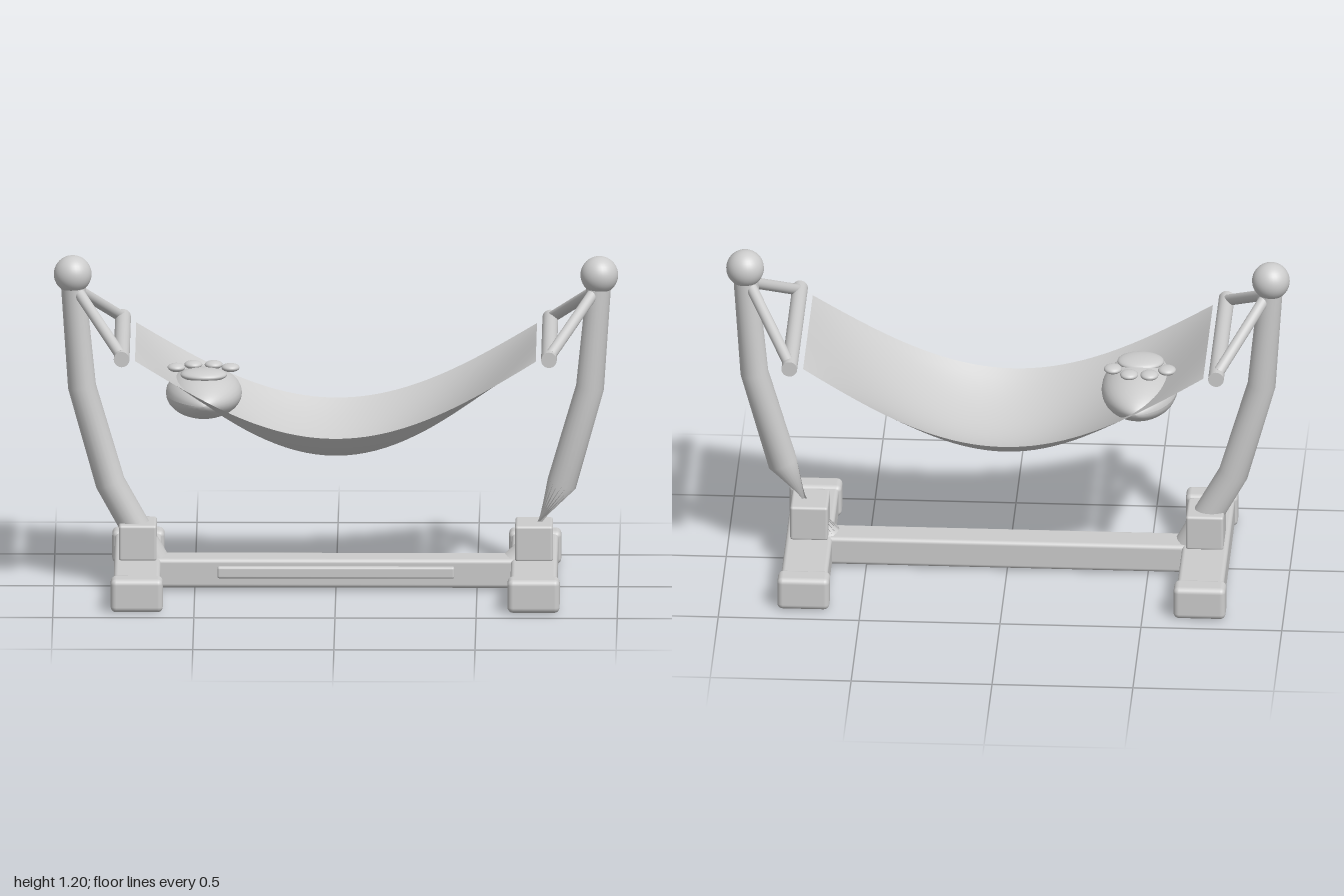
import * as THREE from 'three';
import { RoundedBoxGeometry } from 'three/addons/geometries/RoundedBoxGeometry.js';

const grey = new THREE.MeshStandardMaterial({ color: 0xcccccc, side: THREE.DoubleSide });
grey.name = 'pale grey';

function add(group, name, geometry, x = 0, y = 0, z = 0) {
  const mesh = new THREE.Mesh(geometry, grey);
  mesh.name = name;
  mesh.position.set(x, y, z);
  group.add(mesh);
  return mesh;
}

// Rounded box given by its size and centre
const box = (group, name, w, h, d, x, y, z, r = 0.015) =>
  add(group, name, new RoundedBoxGeometry(w, h, d, 3, r), x, y, z);

// Round rod between two points
function rod(group, name, a, b, r) {
  const dir = b.clone().sub(a);
  const mesh = add(group, name, new THREE.CylinderGeometry(r, r, dir.length(), 20));
  mesh.position.copy(a).addScaledVector(dir, 0.5);
  mesh.quaternion.setFromUnitVectors(new THREE.Vector3(0, 1, 0), dir.normalize());
}

function ellipsoid(group, name, rx, ry, rz, x, y, z) {
  const g = new THREE.SphereGeometry(1, 28, 18);
  g.scale(rx, ry, rz);
  return add(group, name, g, x, y, z);
}

// Bent post from round cross-sections; a half turn of the last one pinches the foot
function postGeometry(side, lastTurn) {
  const rings = [[0.933, 1.12, 0.043], [0.9, 0.73, 0.05], [0.8, 0.38, 0.053], [0.645, 0.1, 0.053]];
  const n = 20, pos = [], idx = [];
  rings.forEach(([x, y, r], i) => {
    const a = rings[Math.max(i - 1, 0)], b = rings[Math.min(i + 1, rings.length - 1)];
    const dx = b[0] - a[0], dy = b[1] - a[1], len = Math.hypot(dx, dy);
    const turn = i === rings.length - 1 ? lastTurn : 0;
    for (let j = 0; j <= n; j++) {
      const t = (j / n) * Math.PI * 2 + turn;
      const u = Math.cos(t) * r;
      pos.push(side * (x - (dy / len) * u), y + (dx / len) * u, Math.sin(t) * r);
      if (i && j < n) {
        const q = i * (n + 1) + j, p = q - n - 1;
        if (side > 0) idx.push(p, p + 1, q, p + 1, q + 1, q);
        else idx.push(p, q, p + 1, p + 1, q, q + 1);
      }
    }
  });
  const g = new THREE.BufferGeometry();
  g.setAttribute('position', new THREE.Float32BufferAttribute(pos, 3));
  g.setIndex(idx);
  g.computeVertexNormals();
  return g;
}

// Sagging sheet, deepest along its middle
function clothGeometry() {
  const g = new THREE.PlaneGeometry(1.42, 2, 40, 20);
  g.rotateX(-Math.PI / 2);
  const p = g.attributes.position;
  for (let i = 0; i < p.count; i++) {
    const x = p.getX(i), v = p.getZ(i);
    const sag = Math.cos((x / 1.42) * Math.PI);
    p.setY(i, 0.892 - sag * (0.402 - 0.125 * v * v));
    p.setZ(i, v * (0.305 + 0.02 * sag));
  }
  g.computeVertexNormals();
  return g;
}

// Cushion with slightly pointed ends
function cushionGeometry() {
  const g = new THREE.SphereGeometry(1, 32, 24);
  g.rotateX(Math.PI / 2);
  const p = g.attributes.position;
  for (let i = 0; i < p.count; i++) {
    const k = 1 - 0.22 * p.getZ(i) ** 4;
    p.setXYZ(i, p.getX(i) * 0.135 * k, p.getY(i) * 0.083 * k, p.getZ(i) * 0.23);
  }
  g.computeVertexNormals();
  return g;
}

export function createModel() {
  const model = new THREE.Group();
  model.name = 'hammock';

  // Base
  box(model, 'longBeam', 1.36, 0.105, 0.12, 0, 0.0625, 0);
  box(model, 'frontPlate', 0.84, 0.042, 0.03, 0, 0.07, 0.065, 0.008);

  for (const s of [-1, 1]) {
    const end = new THREE.Group();
    end.name = s > 0 ? 'leftEnd' : 'rightEnd';
    model.add(end);

    // Foot with caps and socket
    box(end, 'footBeam', 0.165, 0.105, 0.76, s * 0.703, 0.0625, 0);
    for (const z of [-1, 1]) box(end, 'footCap', 0.185, 0.12, 0.09, s * 0.703, 0.064, z * 0.386, 0.02);
    box(end, 'postSocket', 0.134, 0.13, 0.16, s * 0.702, 0.176, 0, 0.01);

    // Post and ball
    add(end, 'post', postGeometry(s, s > 0 ? Math.PI : 0));
    add(end, 'postBall', new THREE.SphereGeometry(0.067, 32, 20), s * 0.933, 1.138, 0);

    // Spreader bar and its two stays
    rod(end, 'spreaderBar', new THREE.Vector3(s * 0.757, 0.905, -0.338),
      new THREE.Vector3(s * 0.757, 0.905, 0.338), 0.028);
    for (const z of [-1, 1]) {
      rod(end, 'stay', new THREE.Vector3(s * 0.915, 1.078, z * 0.01),
        new THREE.Vector3(s * 0.763, 0.915, z * 0.3), 0.02);
    }
  }

  // Hammock sheet
  add(model, 'cloth', clothGeometry());

  // Paw cushion with pads
  const paw = new THREE.Group();
  paw.name = 'pawCushion';
  model.add(paw);
  add(paw, 'cushion', cushionGeometry(), -0.468, 0.708, -0.003);
  ellipsoid(paw, 'mainPad', 0.083, 0.022, 0.068, -0.468, 0.785, 0.053);
  for (const [x, z] of [[-0.566, -0.03], [-0.506, -0.075], [-0.434, -0.075], [-0.374, -0.03]]) {
    ellipsoid(paw, 'toePad', 0.032, 0.015, 0.034, x, 0.792, z);
  }
  return model;
}
